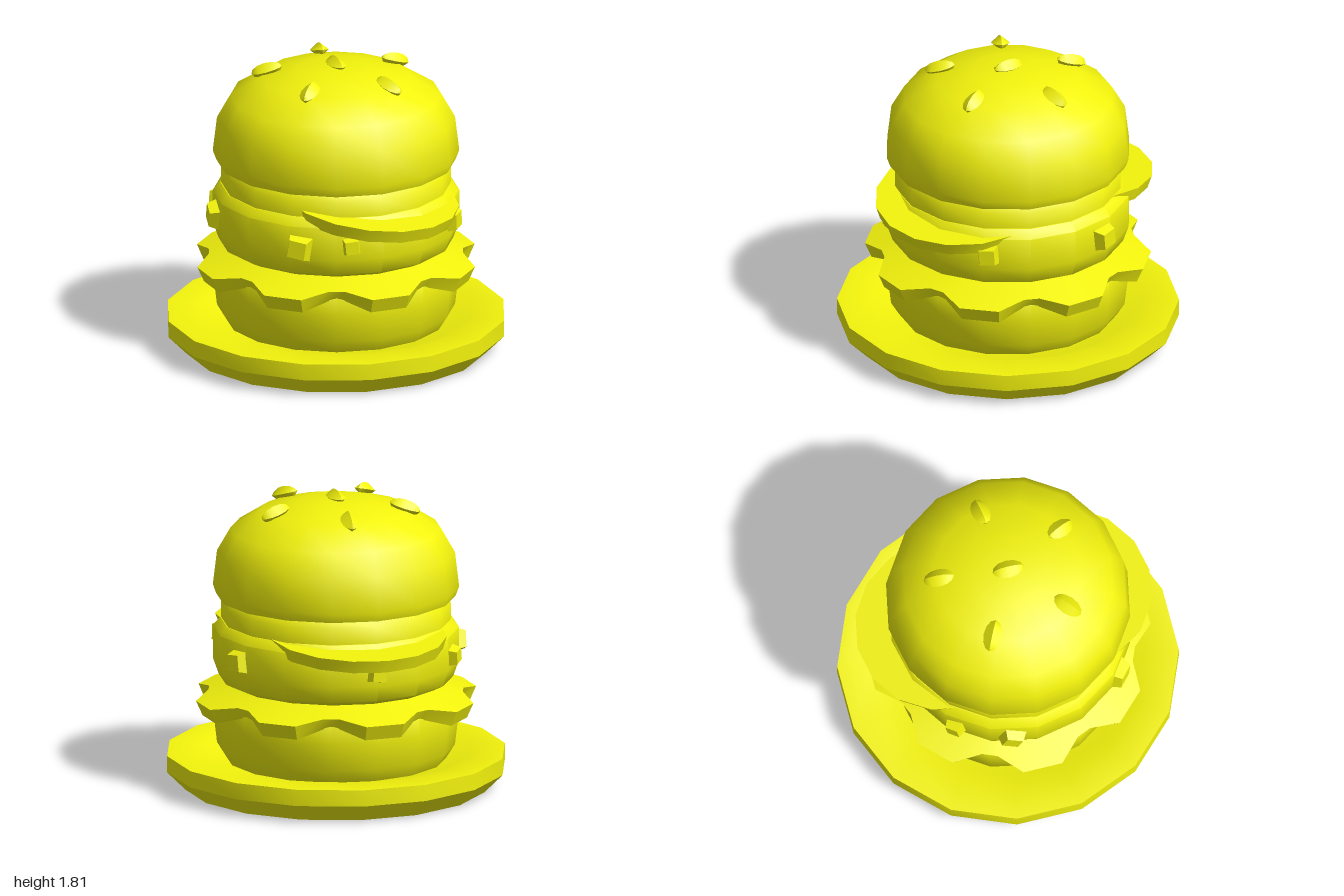
import * as THREE from 'three';
import { toCreasedNormals } from 'three/addons/utils/BufferGeometryUtils.js';

const material = new THREE.MeshStandardMaterial({ color: 0xf2f20d });

export function createModel() {
  const model = new THREE.Group();

  const add = (name, geometry, crease = 0.6) => {
    const mesh = new THREE.Mesh(toCreasedNormals(geometry, crease), material);
    mesh.name = name;
    model.add(mesh);
    return mesh;
  };

  // Round layers: 16-sided lathes from [radius, y] profiles
  const layer = (name, profile, phase = 0, crease = 0.6) =>
    add(name, new THREE.LatheGeometry(profile.map(p => new THREE.Vector2(...p)), 16, phase), crease);

  layer('plate', [[0, 0], [0.91, 0], [1.02, 0.11], [1.02, 0.21], [0.82, 0.21], [0.73, 0.17], [0, 0.17]], Math.PI / 16, 0.45);
  layer('bottomBun', [[0, 0.17], [0.66, 0.17], [0.71, 0.25], [0.73, 0.42], [0.73, 0.53], [0.66, 0.6], [0, 0.6]], 0, 0.8);
  layer('patty', [[0, 0.64], [0.64, 0.64], [0.70, 0.67], [0.735, 0.77], [0.735, 0.97], [0.69, 1.02], [0, 1.03]], 0, 0.8);
  layer('upperLayer', [[0, 1.0], [0.685, 1.0], [0.685, 1.12], [0.65, 1.16], [0, 1.17]], 0, 0.8);
  layer('topBun', [[0, 1.165], [0.715, 1.165], [0.735, 1.22], [0.71, 1.43], [0.63, 1.57], [0.44, 1.69], [0.22, 1.745], [0, 1.76]], 0, 0.8);

  // Lettuce: a sloping sheet with eight wavy lobes
  const angles = [];
  for (let lobe = 0; lobe < 8; lobe++)
    for (const [offset, valley] of [[-19, 1], [-8, 0], [8, 0], [19, 1]])
      angles.push([(lobe * 45 + offset) * Math.PI / 180, valley]);
  const positions = [], index = [];
  for (const [a, valley] of angles) {
    const r = valley ? 0.76 : 0.855;
    const section = [
      [0.56, 0.55], [r - 0.04, valley ? 0.515 : 0.465],
      [r, valley ? 0.585 : 0.555], [0.56, 0.645],
    ];
    for (const [radius, y] of section) positions.push(radius * Math.sin(a), y, radius * Math.cos(a));
  }
  for (let i = 0; i < angles.length; i++) {
    const j = (i + 1) % angles.length;
    for (let k = 0; k < 4; k++) {
      const n = (k + 1) % 4;
      const a = i * 4 + k, b = j * 4 + k, c = j * 4 + n, d = i * 4 + n;
      index.push(a, b, c, a, c, d);
    }
  }
  const sheet = new THREE.BufferGeometry();
  sheet.setAttribute('position', new THREE.Float32BufferAttribute(positions, 3));
  sheet.setIndex(index);
  sheet.computeVertexNormals();
  add('lettuce', sheet, 0.5);

  // Tilted round slices poking out of the stack
  const slice = (name, position, downhill, tilt) => {
    const mesh = add(name, new THREE.CylinderGeometry(0.54, 0.52, 0.08, 16));
    mesh.position.set(...position);
    const axis = new THREE.Vector3(0, 1, 0).cross(new THREE.Vector3(...downhill)).normalize();
    mesh.quaternion.setFromAxisAngle(axis, tilt);
  };
  slice('frontSlice', [0.29, 0.995, 0.2], [1, 0, 0.15], 0.14);
  slice('backSlice', [-0.26, 0.985, -0.28], [-1, 0, -1], 0.1);

  // Small tapered chunks set in the side of the patty: [x, y, z, size, roll]
  const chunks = [
    [0.06, 0.84, 0.74, 0.15, -0.15], [0.36, 0.86, 0.64, 0.11, 0.1],
    [-0.62, 0.86, 0.40, 0.14, -0.35], [0.74, 0.87, -0.03, 0.13, 0.08],
    [-0.735, 0.85, 0.07, 0.11, 0.2], [0.34, 0.86, -0.66, 0.14, 0.12],
    [-0.52, 0.85, -0.53, 0.12, -0.1],
  ];
  for (const [x, y, z, size, roll] of chunks) {
    const geometry = new THREE.CylinderGeometry(size * 0.5, size * 0.72, 0.08, 4);
    geometry.rotateY(Math.PI / 4).rotateX(Math.PI / 2).rotateZ(roll);
    const chunk = add('pattyChunk', geometry, 0.1);
    chunk.position.set(x, y, z);
    chunk.rotation.y = Math.atan2(x, z);
  }

  // Sesame seeds: pointed, four-ridged grains, one on top and five around
  const seedGeometry = new THREE.SphereGeometry(1, 4, 6).rotateX(Math.PI / 2).scale(0.055, 0.045, 0.095);
  const seed = (radius, y, angle, pitch) => {
    const mesh = add('sesameSeed', seedGeometry, 0.6);
    mesh.position.set(radius * Math.sin(angle), y, radius * Math.cos(angle));
    mesh.rotation.set(pitch, angle, 0, 'YXZ');
  };
  seed(0, 1.765, Math.PI / 4, 0);
  for (let i = 0; i < 5; i++) seed(0.415, 1.715, i * Math.PI * 2 / 5, 0.3);

  return model;
}
